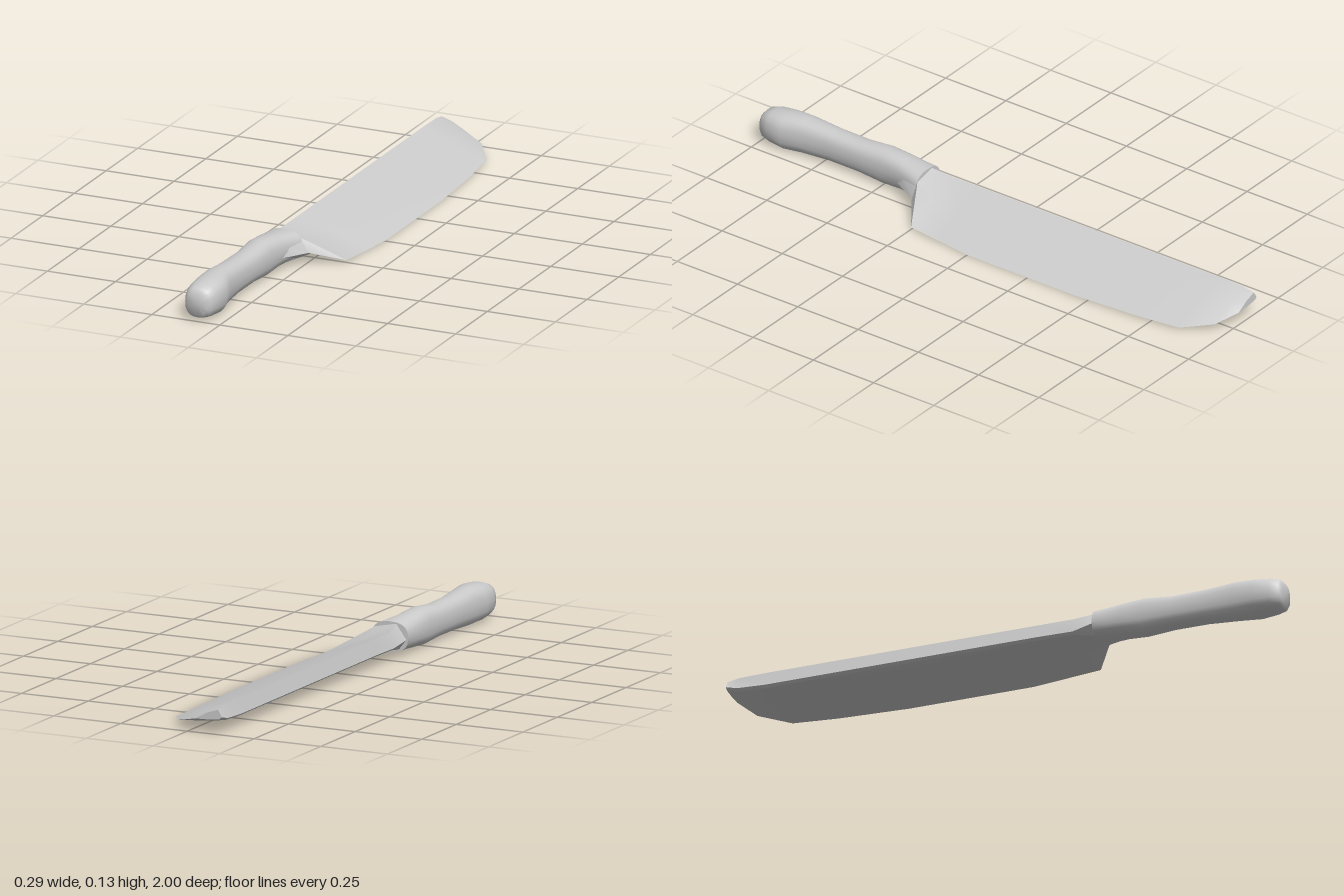
import * as THREE from 'three';
import { toCreasedNormals } from 'three/addons/utils/BufferGeometryUtils.js';

// Skin a list of equal-length loops (counterclockwise seen from +z, ordered by rising z)
function loft(loops, crease) {
  const n = loops[0].length, pos = [], idx = [];
  for (const loop of loops) for (const p of loop) pos.push(...p);
  for (let i = 0; i < loops.length - 1; i++) {
    for (let j = 0; j < n; j++) {
      const k = (j + 1) % n;
      const a = i * n + j, b = i * n + k, c = a + n, d = b + n;
      idx.push(a, b, d, a, d, c);
    }
  }
  // end caps
  const last = loops.length - 1;
  for (const [i, flip] of [[0, true], [last, false]]) {
    const centre = pos.length / 3, mid = [0, 0, 0];
    for (const p of loops[i]) p.forEach((v, q) => { mid[q] += v / n; });
    pos.push(...mid);
    for (let j = 0; j < n; j++) {
      const a = i * n + j, b = i * n + (j + 1) % n;
      idx.push(centre, flip ? b : a, flip ? a : b);
    }
  }
  const g = new THREE.BufferGeometry();
  g.setAttribute('position', new THREE.Float32BufferAttribute(pos, 3));
  g.setIndex(idx);
  return toCreasedNormals(g, crease);
}

export function createModel() {
  const group = new THREE.Group();
  const material = new THREE.MeshStandardMaterial({ color: 0xcccccc });
  const add = (name, geometry) => {
    const mesh = new THREE.Mesh(geometry, material);
    mesh.name = name;
    group.add(mesh);
  };

  // Blade: tilted wedge sections [z, cutting edge x, spine top y, spine bottom y]
  const blade = [
    [-1, -0.03, 0.088, 0.056],
    [-0.96, 0.05, 0.096, 0.045],
    [-0.86, 0.115, 0.098, 0.04],
    [-0.7, 0.13, 0.098, 0.04],
    [-0.45, 0.142, 0.098, 0.04],
    [0, 0.142, 0.098, 0.04],
    [0.12, 0.13, 0.098, 0.04],
    [0.25, 0.117, 0.098, 0.038],
  ].map(([z, xe, top, bottom]) => {
    const ye = 0.075 - 0.265 * (xe + 0.125);
    const xm = THREE.MathUtils.lerp(-0.12, xe, 0.5);
    return [
      [xe, ye, z],
      [xm, (top + ye) / 2 + 0.006, z],
      [-0.115, top, z],
      [-0.13, bottom + 0.008, z],
      [-0.12, bottom, z],
      [xm, (bottom + ye) / 2 - 0.002, z],
    ];
  });
  // Heel: the wedge swells and narrows into the handle
  blade.push(
    [[0.012, 0.045, 0.325], [-0.02, 0.095, 0.325], [-0.1, 0.112, 0.325],
      [-0.138, 0.06, 0.325], [-0.11, 0.025, 0.325], [-0.03, 0.02, 0.325]],
    [[-0.036, 0.05, 0.42], [-0.045, 0.09, 0.42], [-0.1, 0.11, 0.42],
      [-0.135, 0.06, 0.42], [-0.11, 0.025, 0.42], [-0.05, 0.025, 0.42]],
  );
  add('blade', loft(blade, 0.5));

  // Handle: rounded-square sections [z, x min, x max, y min, y max]
  const handle = [
    [0.325, -0.145, -0.01, 0.015, 0.118],
    [0.37, -0.143, -0.022, 0.014, 0.121],
    [0.42, -0.143, -0.035, 0.011, 0.126],
    [0.5, -0.142, -0.04, 0.005, 0.133],
    [0.6, -0.14, -0.046, 0.011, 0.123],
    [0.72, -0.14, -0.048, 0.01, 0.125],
    [0.83, -0.143, -0.04, 0.004, 0.134],
    [0.9, -0.147, -0.022, 0.003, 0.132],
    [0.96, -0.141, -0.028, 0.008, 0.126],
    [0.99, -0.132, -0.037, 0.014, 0.116],
    [1, -0.122, -0.046, 0.026, 0.104],
  ].map(([z, x0, x1, y0, y1]) => {
    const loop = [], sides = 20;
    const power = (v) => Math.sign(v) * Math.abs(v) ** 0.78;
    for (let j = 0; j < sides; j++) {
      const a = (j / sides) * Math.PI * 2;
      loop.push([
        (x0 + x1) / 2 + power(Math.cos(a)) * (x1 - x0) / 2,
        (y0 + y1) / 2 + power(Math.sin(a)) * (y1 - y0) / 2,
        z,
      ]);
    }
    return loop;
  });
  add('handle', loft(handle, 0.9));

  return group;
}
